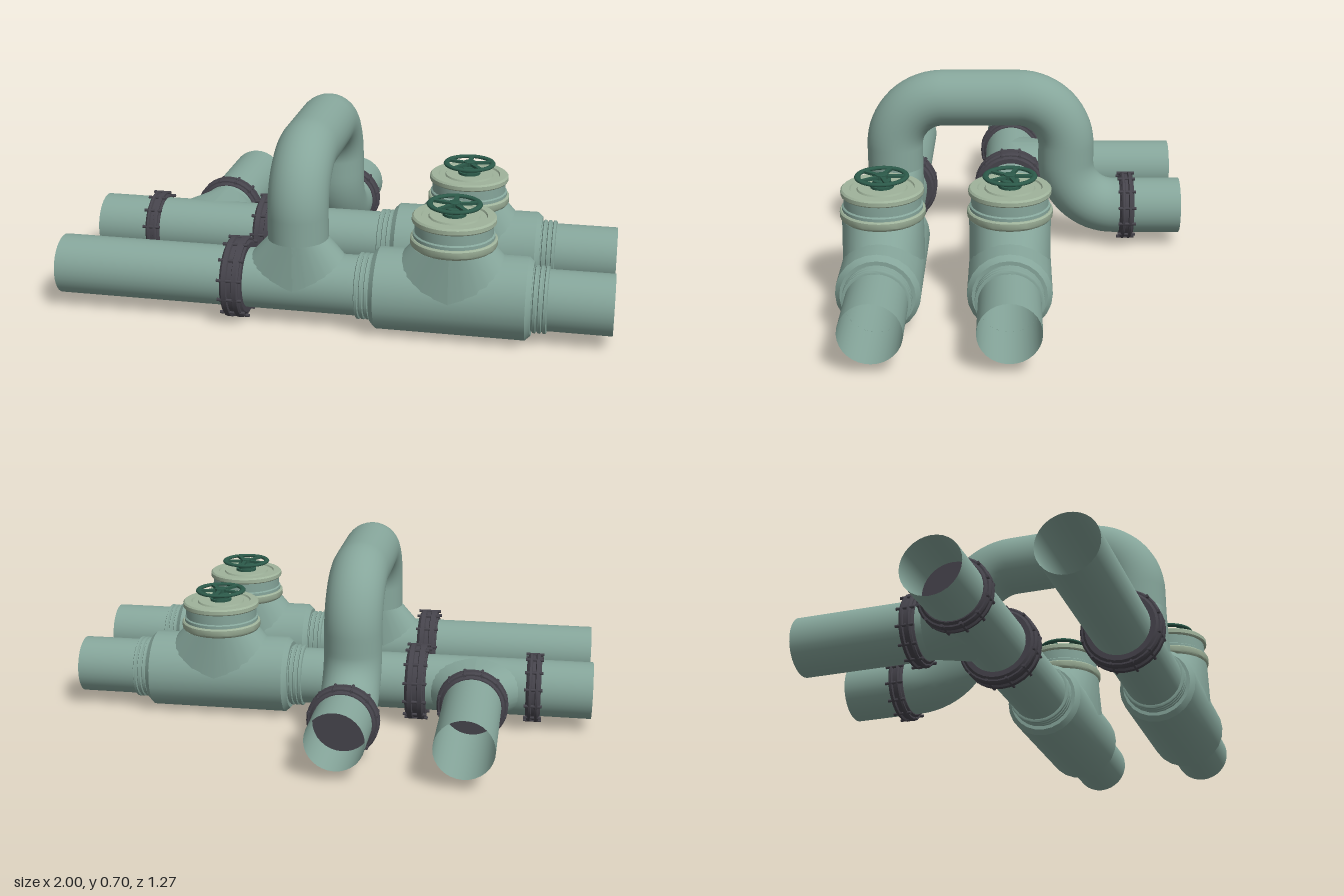
import * as THREE from 'three';
import { toCreasedNormals } from 'three/addons/utils/BufferGeometryUtils.js';

const R = 0.108;      // pipe radius
const AXIS = 0.152;   // height of the pipe axes
const BACK = 0.03, FRONT = 0.48;

const paint = (color, side = THREE.FrontSide) => new THREE.MeshStandardMaterial({ color, side });
const pipeMat = paint(0x86a69b, THREE.DoubleSide);
const capMat = paint(0x9fb39b);
const wheelMat = paint(0x2c5a4a);
const darkMat = paint(0x46444c);

function add(parent, name, geometry, material, x = 0, y = 0, z = 0) {
  const mesh = new THREE.Mesh(geometry, material);
  mesh.name = name;
  mesh.position.set(x, y, z);
  parent.add(mesh);
  return mesh;
}

function lathe(points, segments = 32) {
  const profile = points.map(([r, y]) => new THREE.Vector2(r, y));
  return toCreasedNormals(new THREE.LatheGeometry(profile, segments), 0.6);
}

function subgroup(parent, name, x, y, z) {
  const group = new THREE.Group();
  group.name = name;
  group.position.set(x, y, z);
  parent.add(group);
  return group;
}

// Open tube along local y
const tube = (r, length) => new THREE.CylinderGeometry(r, r, length, 32, 1, true);

// Branch root: round at the top, widening along x towards the main pipe axis
function flare(r, height, slope) {
  const g = tube(r, height).translate(0, height / 2, 0);
  const p = g.attributes.position;
  for (let i = 0; i < p.count; i++) {
    const grow = 1 + (height - p.getY(i)) * slope / r;
    p.setX(i, p.getX(i) * grow);
  }
  g.computeVertexNormals();
  return g;
}

// Bolted coupling around a pipe, axis along local y
function coupling(parent, r, width, x, y, z) {
  const group = subgroup(parent, 'coupling', x, y, z);
  const h = width / 2, g = width * 0.1, b = 0.006;
  add(group, 'couplingRings', lathe([
    [0, -h], [r - 0.02, -h], [r - 0.012, -h + b], [r - b, -h + b], [r, -h + 2 * b],
    [r, -g - 0.003], [r - 0.008, -g], [r - 0.008, g], [r, g + 0.003],
    [r, h - 2 * b], [r - b, h - b], [r - 0.012, h - b], [r - 0.02, h], [0, h],
  ]), darkMat);
  const bolt = new THREE.CylinderGeometry(0.006, 0.006, width + 0.012, 6);
  for (let i = 0; i < 12; i++) {
    const a = (i + 0.5) * Math.PI / 6;
    add(group, 'couplingBolt', bolt, darkMat, Math.cos(a) * (r - 0.006), 0, Math.sin(a) * (r - 0.006));
  }
  return group;
}

// Spoked handwheel with its hub
function handwheel(parent, y) {
  const group = subgroup(parent, 'handwheel', 0, y, 0);
  add(group, 'wheelStem', lathe([[0.042, -0.04], [0.042, -0.03], [0.033, -0.03], [0.033, -0.012], [0.022, -0.008], [0.022, 0.008], [0, 0.008]], 16), wheelMat);
  const rim = new THREE.TorusGeometry(0.086, 0.011, 8, 32).rotateX(Math.PI / 2).scale(1, 0.6, 1);
  add(group, 'wheelRim', rim, wheelMat);
  const spoke = new THREE.BoxGeometry(0.075, 0.009, 0.016).translate(0.05, 0, 0);
  for (let i = 0; i < 5; i++) {
    add(group, 'wheelSpoke', spoke, wheelMat).rotation.y = Math.PI / 2 + i * Math.PI * 0.4;
  }
}

// Wide valve body with ribbed collars, upright neck, cap and handwheel
function valve(parent, z) {
  const group = subgroup(parent, 'valve', 0.44, AXIS, z);

  const half = [[0.147, 0.262], [0.13, 0.28], [0.113, 0.28]];
  for (let i = 0; i < 3; i++) {
    const y = 0.284 + i * 0.018;
    half.push([0.113, y], [0.119, y + 0.003], [0.119, y + 0.012], [0.113, y + 0.015]);
  }
  half.push([R, 0.335]);
  const mirrored = half.map(([r, y]) => [r, -y]).reverse();
  add(group, 'valveBody', lathe([...mirrored, ...half], 24), pipeMat).rotation.z = -Math.PI / 2;

  add(group, 'neckRoot', flare(0.145, 0.18, 0.9), pipeMat);
  add(group, 'neckBand', lathe([[0.14, 0.178], [0.15, 0.186], [0.152, 0.19], [0.152, 0.21], [0.147, 0.215], [0.13, 0.215]]), capMat);
  add(group, 'neckCollar', lathe([[0.143, 0.212], [0.143, 0.226], [0.137, 0.23], [0.137, 0.27]]), pipeMat);
  add(group, 'cap', lathe([
    [0.13, 0.266], [0.144, 0.268], [0.147, 0.272], [0.147, 0.286], [0.141, 0.292],
    [0.115, 0.292], [0.112, 0.286], [0.09, 0.286], [0.087, 0.292], [0, 0.292],
  ]), capMat);
  handwheel(group, 0.331);
}

// Arched bypass: rises from the front pipe, crosses the back one, drops and leaves rearwards
function bypassCurve() {
  const v = (y, z) => new THREE.Vector3(-0.113, y, z);
  const path = new THREE.CurvePath();
  const line = (a, b) => path.add(new THREE.LineCurve3(a, b));
  const bend = (a, corner, b) => path.add(new THREE.CubicBezierCurve3(
    a, a.clone().lerp(corner, 0.5523), b.clone().lerp(corner, 0.5523), b));
  const top = 0.598, drop = -0.187, r = 0.19;
  line(v(AXIS, FRONT), v(top - r, FRONT));
  bend(v(top - r, FRONT), v(top, FRONT), v(top, FRONT - r));
  line(v(top, FRONT - r), v(top, drop + r));
  bend(v(top, drop + r), v(top, drop), v(top - r, drop));
  line(v(top - r, drop), v(AXIS + r, drop));
  bend(v(AXIS + r, drop), v(AXIS, drop), v(AXIS, drop - r));
  line(v(AXIS, drop - r), v(AXIS, -0.635));
  return path;
}

export function createModel() {
  const model = new THREE.Group();
  model.name = 'pipework';

  // Two long pipes, each with a valve and a large coupling
  for (const z of [BACK, FRONT]) {
    add(model, 'mainPipe', tube(R, 2), pipeMat, 0, AXIS, z).rotation.z = Math.PI / 2;
    valve(model, z);
    coupling(model, 0.147, 0.078, -0.335, AXIS, z).rotation.z = Math.PI / 2;
  }
  coupling(model, 0.132, 0.056, -0.78, AXIS, BACK).rotation.z = Math.PI / 2;

  // Side branch of the back pipe
  const branch = subgroup(model, 'sideBranch', -0.56, AXIS, BACK);
  branch.rotation.x = -Math.PI / 2;
  add(branch, 'branchPipe', tube(R, 0.665), pipeMat, 0, 0.3325, 0);
  add(branch, 'branchRoot', flare(R, 0.17, 0.9), pipeMat);
  coupling(branch, 0.132, 0.056, 0, 0.222, 0);

  // Bypass arch
  add(model, 'bypassPipe', new THREE.TubeGeometry(bypassCurve(), 90, R, 32, false), pipeMat);
  add(model, 'bypassRoot', flare(R, 0.17, 0.9), pipeMat, -0.113, AXIS, FRONT);
  coupling(model, 0.132, 0.056, -0.113, AXIS, -0.425).rotation.x = Math.PI / 2;

  return model;
}
